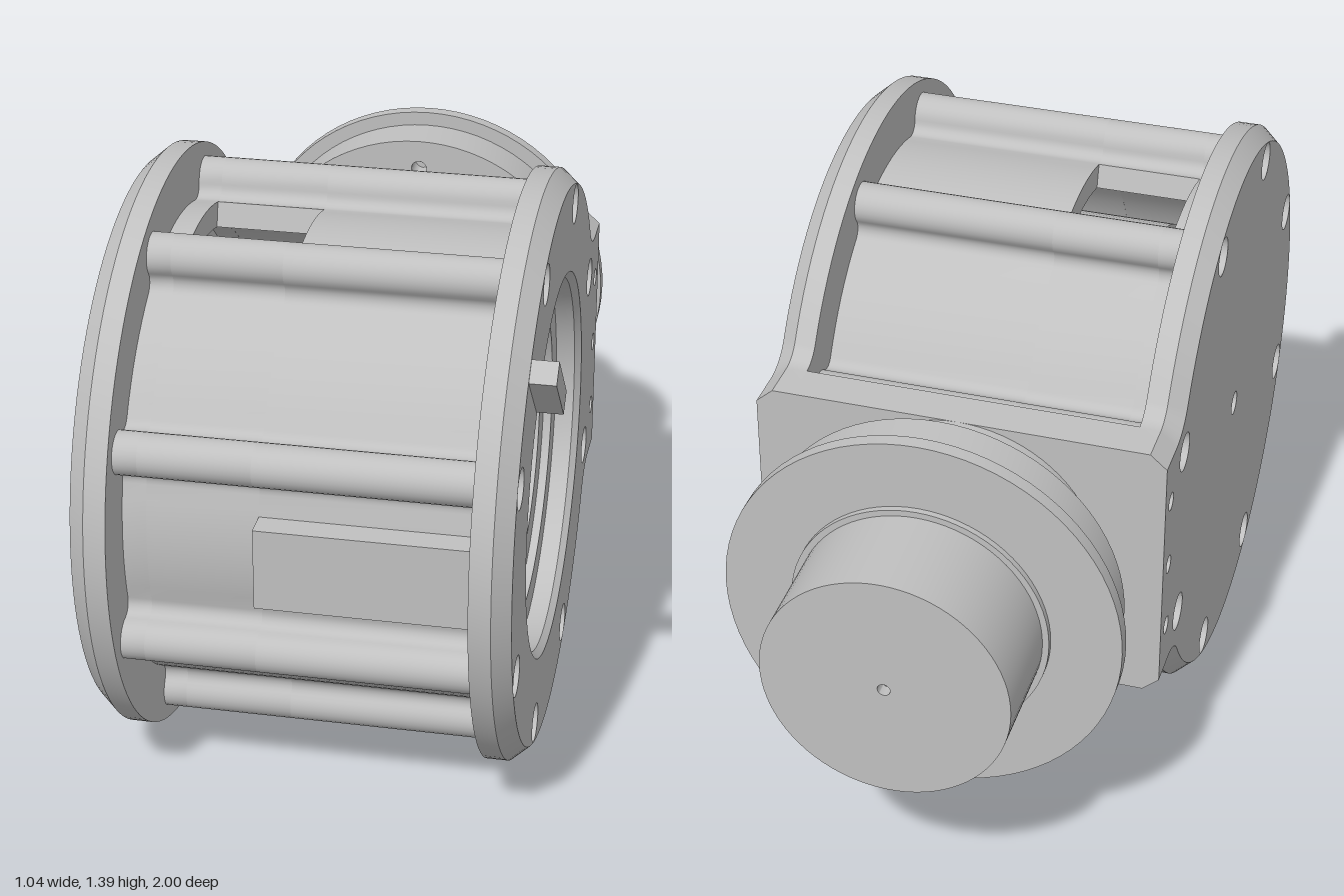
import * as THREE from 'three';
import { mergeGeometries, toCreasedNormals } from 'three/addons/utils/BufferGeometryUtils.js';

const V = (x, y) => new THREE.Vector2(x, y);
const PI = Math.PI;
const RODS = [...Array(8)].map((_, k) => PI / 8 + k * PI / 4);
const ROD_R = 0.612;

// Points along an arc, in either direction
function arc(cx, cy, r, a0, a1, n) {
  return [...Array(n + 1)].map((_, i) => {
    const a = a0 + (a1 - a0) * i / n;
    return V(cx + r * Math.cos(a), cy + r * Math.sin(a));
  });
}

const hole = (x, y, r) => new THREE.Path().absarc(x, y, r, 0, 2 * PI, true);

// Turned part around the local z axis; profile is [radius, z] pairs
function turned(profile, x = 0, y = 0, segs = 80) {
  const g = new THREE.LatheGeometry(profile.map(p => V(p[0], p[1])), segs);
  return toCreasedNormals(g.rotateX(PI / 2).translate(x, y, 0), 0.5);
}

// Flange outline: a disc with a filleted neck, inset by d
function flangeOutline(d) {
  const cx = 0.651, cy = 0.42, a = Math.atan2(cy, cx), h = 0.34 - d, f = 0.08 + d;
  return [
    V(0.745, -h), V(0.745, h),
    ...arc(cx, cy, f, -PI / 2, a - PI, 10),
    ...arc(0, 0, 0.695 - d, a, 2 * PI - a, 90).slice(1, -1),
    ...arc(cx, -cy, f, PI - a, PI / 2, 10),
  ];
}

// Flat face with holes
function plate(d, holes, z, flip) {
  const s = new THREE.Shape(flangeOutline(d));
  s.holes = holes.map(p => hole(...p));
  const g = new THREE.ShapeGeometry(s, 32);
  if (flip) g.rotateX(PI);
  g.translate(0, 0, z);
  const out = g.toNonIndexed();
  out.deleteAttribute('uv');
  return out;
}

// Chamfered flange, inner face at z = 0 and outer face at z = 0.09
function flangeGeometry(outerBore, innerBore) {
  const levels = [[0, 0], [0, 0.05], [0.035, 0.09]].map(([d, z]) =>
    flangeOutline(d).map(p => [p.x, p.y, z]));
  const pos = [];
  for (let k = 0; k < 2; k++) {
    levels[k].forEach((a, i) => {
      const j = (i + 1) % levels[k].length;
      const b = levels[k][j], c = levels[k + 1][j], e = levels[k + 1][i];
      pos.push(...a, ...b, ...c, ...a, ...c, ...e);
    });
  }
  let wall = new THREE.BufferGeometry();
  wall.setAttribute('position', new THREE.Float32BufferAttribute(pos, 3));
  wall = toCreasedNormals(wall, 0.5);
  const bolts = RODS.map(a => [ROD_R * Math.cos(a), ROD_R * Math.sin(a), 0.047]);
  const pins = [-0.18, 0, 0.18].map(y => [0.69, y, 0.022]);
  const inner = innerBore ? [...bolts, [0, 0, innerBore]] : bolts;
  const parts = [
    wall,
    plate(0, inner, 0, true),
    plate(0.035, [...bolts, ...pins, [0, 0, outerBore]], 0.09, false),
  ];
  for (const [x, y, r] of pins) {
    const g = turned([[r, 0.09], [r, 0]], x, y, 20);
    g.deleteAttribute('uv');
    parts.push(g);
  }
  return mergeGeometries(parts);
}

// Housing wall: outer curve with one filleted bump per rod
const SHELL = 0.56, INNER = 0.5, ROD = 0.05, FIL = 0.03;
const FB = SHELL + FIL, FC = ROD + FIL;
const HALF = Math.acos((ROD_R ** 2 + FB ** 2 - FC ** 2) / (2 * ROD_R * FB));

function bump(a) {
  const fx = FB * Math.cos(HALF), fy = FB * Math.sin(HALF);
  const phi = Math.atan2(fy, ROD_R - fx);
  return [
    ...arc(fx, -fy, FIL, PI - HALF, phi, 6),
    ...arc(ROD_R, 0, ROD, phi - PI, PI - phi, 16).slice(1, -1),
    ...arc(fx, fy, FIL, -phi, HALF - PI, 6),
  ].map(p => p.rotateAround(V(0, 0), a));
}

function shellShape(full) {
  const pts = [];
  const angles = full ? RODS : [-3, -1, 1, 3].map(k => k * PI / 8);
  const edge = 75 * PI / 180;
  if (!full) pts.push(...arc(0, 0, SHELL, -edge, -edge, 1).slice(1));
  angles.forEach((a, i) => {
    pts.push(...bump(a));
    if (full || i < 3) pts.push(...arc(0, 0, SHELL, a + HALF, a + PI / 4 - HALF, 8).slice(1, -1));
  });
  if (!full) pts.push(...arc(0, 0, SHELL, edge, edge, 1).slice(1), ...arc(0, 0, INNER, edge, -edge, 40));
  const s = new THREE.Shape(pts);
  s.holes = angles.map(a => hole(ROD_R * Math.cos(a), ROD_R * Math.sin(a), 0.032));
  if (full) s.holes.push(hole(0, 0, INNER));
  return s;
}

function shell(full, z0, z1) {
  const g = new THREE.ExtrudeGeometry(shellShape(full), { depth: z1 - z0, bevelEnabled: false, curveSegments: 32 });
  return toCreasedNormals(g.translate(0, 0, z0), 0.5);
}

export function createModel() {
  const model = new THREE.Group();
  const steel = new THREE.MeshStandardMaterial({ color: 0xc0c0c0, side: THREE.DoubleSide });
  steel.name = 'steel grey';
  const add = (parent, name, geometry) => {
    const m = new THREE.Mesh(geometry, steel);
    m.name = name;
    parent.add(m);
    return m;
  };

  // Housing: local z runs along world x, local +x points to the back
  const housing = new THREE.Group();
  housing.name = 'housing';
  housing.rotation.y = PI / 2;
  housing.position.set(0, 0.695, 0.305);
  model.add(housing);

  add(housing, 'boredFlange', flangeGeometry(0.455, 0.42)).position.z = 0.37;
  const closed = new THREE.Group();
  closed.name = 'closedFlange';
  closed.rotation.x = PI;
  closed.position.z = -0.43;
  housing.add(closed);
  add(closed, 'closedFlangePlate', flangeGeometry(0.03, 0));
  add(closed, 'centreHole', turned([[0.03, 0.09], [0.03, 0.03], [0, 0.03]], 0, 0, 24));

  // Ribbed wall, with a window at the top and the bottom
  add(housing, 'wallNearClosedFlange', shell(true, -0.43, -0.375));
  add(housing, 'wallNearBoredFlange', shell(true, -0.12, 0.37));
  for (const turn of [0, PI]) add(housing, 'wallBesideWindows', shell(false, -0.375, -0.12)).rotation.z = turn;

  // Counterbored bolt holes running through the ribs
  for (const a of RODS) {
    add(housing, 'boltHole', turned(
      [[0.047, 0.46], [0.047, 0.42], [0.03, 0.42], [0.03, -0.48], [0.047, -0.48], [0.047, -0.52]],
      ROD_R * Math.cos(a), ROD_R * Math.sin(a), 32));
  }

  // Inner drum and its stepped bore
  add(housing, 'drum', turned([[0, -0.3], [0.42, -0.3], [0.42, 0.37]]));
  add(housing, 'bore', turned([[0.455, 0.46], [0.44, 0.445], [0.44, 0.4], [0.37, 0.4], [0.37, 0.38],
    [0.295, 0.38], [0.295, -0.1], [0.02, -0.1], [0.02, -0.16], [0, -0.16]]));

  // Raised pad on the front, and the radial key on the bored flange
  add(housing, 'frontPad', new THREE.BoxGeometry(0.12, 0.195, 0.49)).position.set(-0.555, 0, 0.125);
  const key = add(housing, 'key', new THREE.BoxGeometry(0.19, 0.055, 0.06));
  key.position.set(-0.562 * Math.SQRT1_2, 0.562 * Math.SQRT1_2, 0.49);
  key.rotation.z = 0.75 * PI;

  // Block bridging the two necks
  add(model, 'neckBlock', new THREE.BoxGeometry(0.8, 0.68, 0.1)).position.set(-0.03, 0.695, -0.39);

  // Spindle at the back, with a pulley and an end stub
  const spindle = new THREE.Group();
  spindle.name = 'spindle';
  spindle.position.set(-0.03, 0.695, 0);
  model.add(spindle);
  add(spindle, 'pulley', turned([[0, -0.97], [0.015, -0.97], [0.015, -1], [0.29, -1], [0.29, -0.75],
    [0.305, -0.75], [0.305, -0.735], [0.47, -0.735], [0.47, -0.7], [0.435, -0.7], [0.435, -0.58]]));
  add(spindle, 'shaftCollar', turned([[0.263, -0.58], [0.263, -0.52], [0.34, -0.52], [0.34, -0.44]]));
  const face = new THREE.Shape().absarc(0, 0, 0.435, 0, 2 * PI);
  face.holes.push(hole(0, 0, 0.263));
  for (let k = 0; k < 8; k++) {
    const x = 0.36 * Math.cos(k * PI / 4), y = 0.36 * Math.sin(k * PI / 4);
    face.holes.push(hole(x, y, 0.02));
    add(spindle, 'pulleyHole', turned([[0.02, -0.58], [0.02, -0.64], [0, -0.64]], x, y, 16));
  }
  add(spindle, 'pulleyFace', new THREE.ShapeGeometry(face, 40)).position.z = -0.58;
  return model;
}
